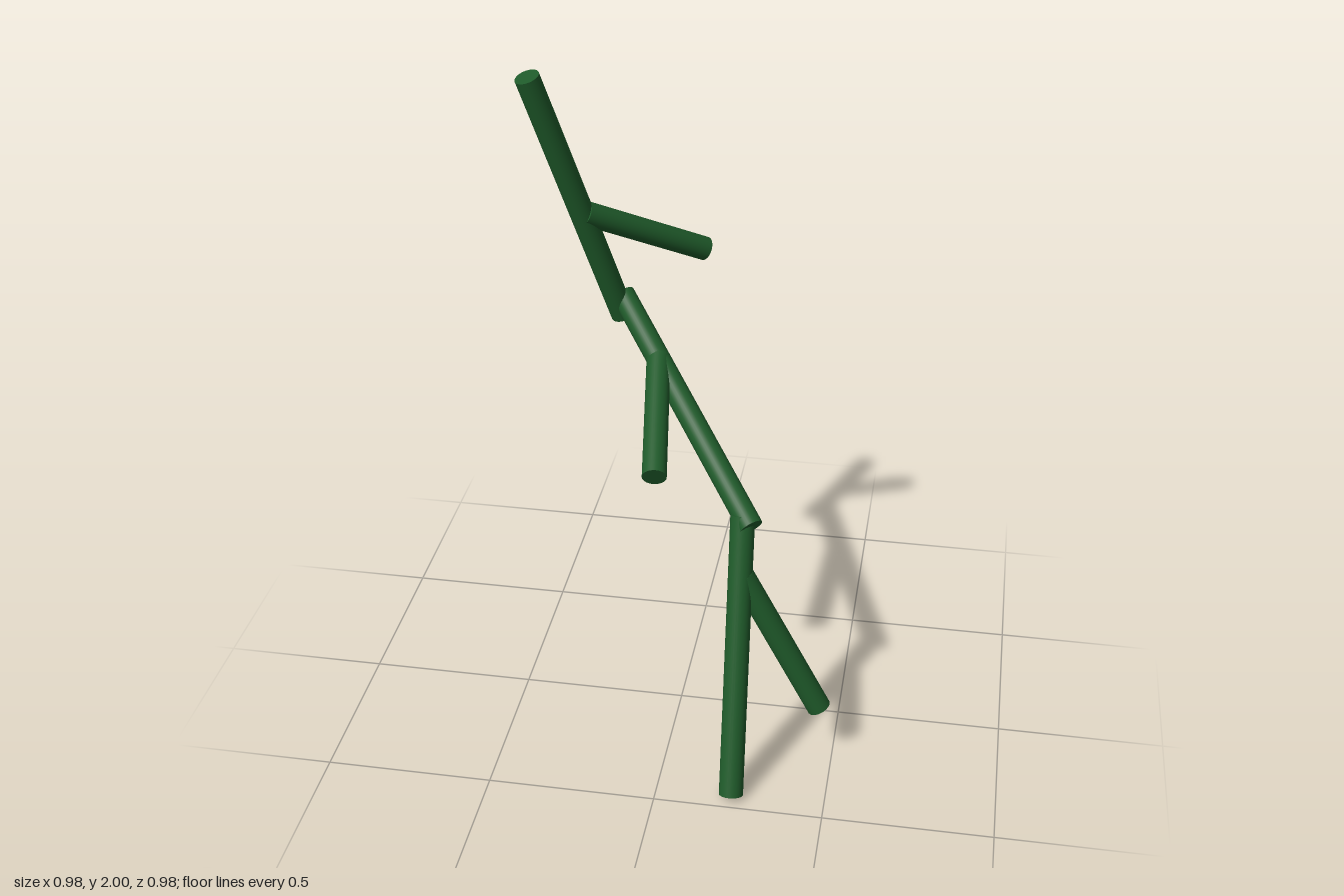
import * as THREE from 'three';

const RADIUS = 0.036;

export function createModel() {
  const group = new THREE.Group();
  const material = new THREE.MeshStandardMaterial({ color: 0x1f5a2a });

  // Straight round rod running from one point to another
  function rod(name, from, to) {
    const a = new THREE.Vector3(...from);
    const b = new THREE.Vector3(...to);
    const dir = b.clone().sub(a);
    const mesh = new THREE.Mesh(new THREE.CylinderGeometry(RADIUS, RADIUS, dir.length(), 32), material);
    mesh.name = name;
    mesh.position.copy(a).add(b).multiplyScalar(0.5);
    mesh.quaternion.setFromUnitVectors(new THREE.Vector3(0, 1, 0), dir.normalize());
    group.add(mesh);
  }

  // Zigzag main stem, bottom to top
  rod('lowerStem', [0.225, 0.012, 0.455], [0.207, 0.81, 0.165]);
  rod('middleStem', [0.235, 0.785, 0.19], [-0.235, 1.245, -0.325]);
  rod('upperStem', [-0.235, 1.18, -0.32], [-0.455, 1.99, -0.123]);

  // One side twig on each stem section
  rod('lowerTwig', [0.215, 0.64, 0.224], [0.455, 0.18, 0.213]);
  rod('middleTwig', [-0.1, 1.115, -0.178], [-0.045, 0.935, 0.205]);
  rod('upperTwig', [-0.325, 1.545, -0.232], [-0.005, 1.353, -0.46]);

  return group;
}
